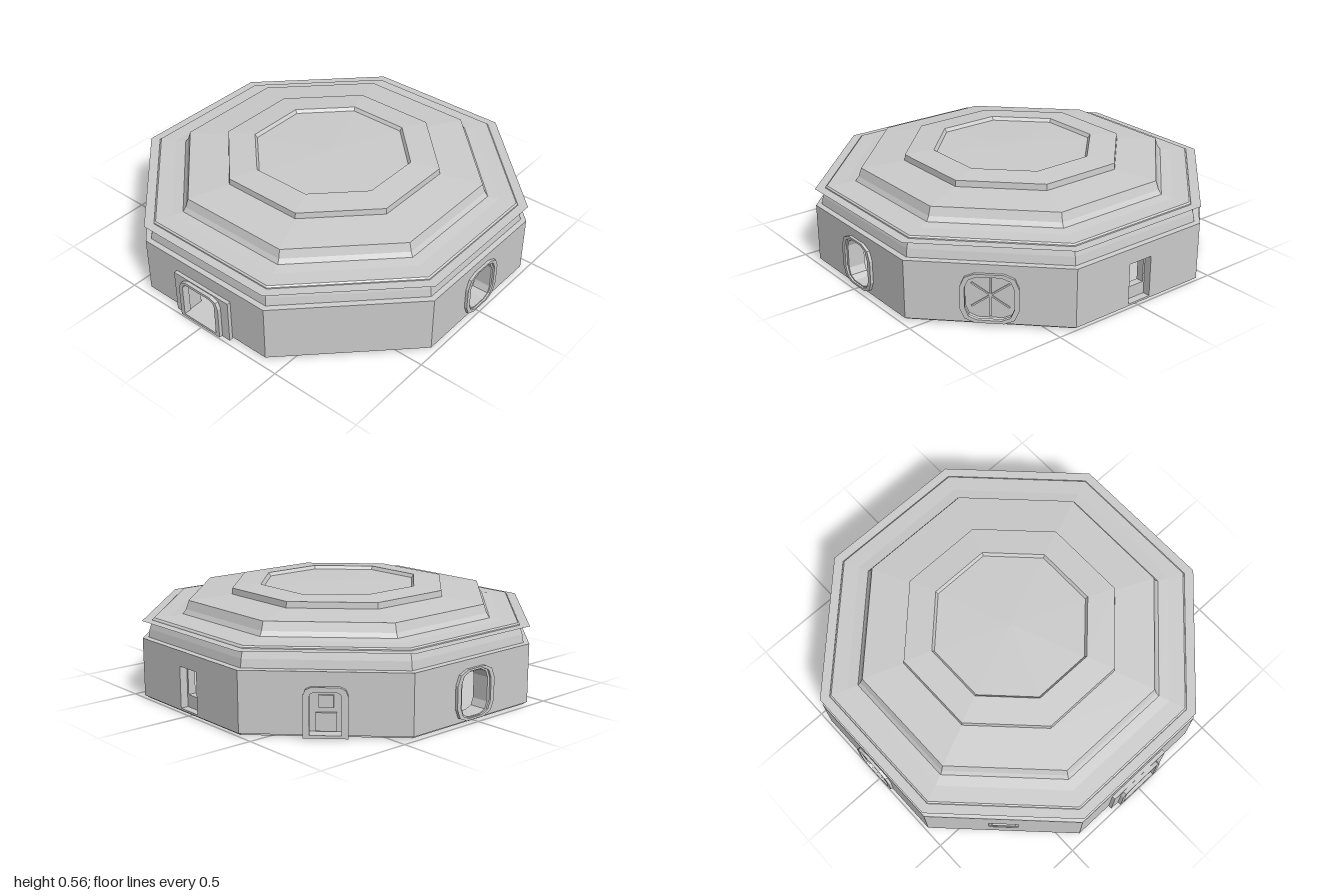
import * as THREE from 'three';

const AP = 0.98;                       // distance from centre to each wall face
const TAN = Math.tan(Math.PI / 8), COS = Math.cos(Math.PI / 8);
const grey = new THREE.MeshStandardMaterial({ color: 0xcccccc, flatShading: true, side: THREE.DoubleSide });
const blue = new THREE.MeshStandardMaterial({ color: 0x9fd4e8, flatShading: true, side: THREE.DoubleSide });

function add(parent, name, geometry, x = 0, y = 0, z = 0, material = grey) {
  const mesh = new THREE.Mesh(geometry, material);
  mesh.name = name;
  mesh.position.set(x, y, z);
  parent.add(mesh);
  return mesh;
}

// Octagonal shell from [apothem, height] pairs
function octagon(profile) {
  const pts = profile.map(([a, y]) => new THREE.Vector2(a / COS, y));
  return new THREE.LatheGeometry(pts, 8, Math.PI / 8).toNonIndexed();
}

// Rectangle with cut corners; b and t are the bottom and top corner cuts
function panel(w, y0, y1, t = 0, b = 0, Kind = THREE.Shape) {
  const h = w / 2, p = [];
  const corner = (x, y, sx, sy, c, flip) => {
    if (!c) return p.push([x, y]);
    const k = c * 0.3;
    const arc = [[x, y + sy * c], [x + sx * k, y + sy * k], [x + sx * c, y]];
    p.push(...(flip ? arc.reverse() : arc));
  };
  corner(-h, y0, 1, 1, b, false);
  corner(h, y0, -1, 1, b, true);
  corner(h, y1, -1, -1, t, false);
  corner(-h, y1, 1, -1, t, true);
  return new Kind(p.map(([x, y]) => new THREE.Vector2(x, y)));
}

function extrude(shape, depth, hole) {
  if (hole) shape.holes.push(hole);
  return new THREE.ExtrudeGeometry(shape, { depth, bevelEnabled: false });
}

const hole = (w, y0, y1, t, b) => panel(w, y0, y1, t, b, THREE.Path);

// Each opening: its cut in the wall and the fittings around it
const entrance = {
  cut: () => hole(0.23, 0.025, 0.225, 0.03, 0),
  fit(g) {
    add(g, 'entranceFrame', extrude(panel(0.37, 0.005, 0.245), 0.02, hole(0.25, 0.02, 0.235, 0.04, 0)));
    add(g, 'entranceLip', extrude(panel(0.27, 0.01, 0.24, 0.05, 0), 0.04, hole(0.22, 0.025, 0.225, 0.03, 0)));
  }
};
const portal = {
  cut: () => hole(0.19, 0.03, 0.26, 0.05, 0.05),
  fit(g) {
    add(g, 'portalFrame', extrude(panel(0.26, 0.02, 0.275, 0.07, 0.07), 0.025, hole(0.21, 0.03, 0.265, 0.06, 0.06)), 0, 0, -0.01);
    add(g, 'portalLining', extrude(panel(0.21, 0.028, 0.268, 0.06, 0.06), 0.09, hole(0.18, 0.035, 0.258, 0.05, 0.05)), 0, 0, -0.085);
  }
};
const closedPortal = {
  cut: () => hole(0.24, 0.03, 0.265, 0.06, 0.06),
  fit(g) {
    add(g, 'hatchFrame', extrude(panel(0.28, 0.02, 0.275, 0.07, 0.07), 0.02, hole(0.235, 0.035, 0.26, 0.06, 0.06)), 0, 0, -0.005);
    add(g, 'hatchPanel', extrude(panel(0.26, 0.02, 0.275, 0.06, 0.06), 0.02), 0, 0, -0.05);
    for (const a of [0.6, -0.6, Math.PI / 2]) {
      add(g, 'hatchRib', new THREE.BoxGeometry(0.22, 0.008, 0.008), 0, 0.148, -0.028).rotation.z = a;
    }
  }
};
const backOpening = {
  cut: () => hole(0.14, 0.025, 0.24),
  fit(g) {
    add(g, 'backSill', new THREE.BoxGeometry(0.14, 0.07, 0.04), 0, 0.055, -0.06);
    for (const s of [-1, 1]) add(g, 'backJamb', new THREE.BoxGeometry(0.012, 0.15, 0.04), s * 0.066, 0.165, -0.06);
  }
};
const sideDoor = {
  cut: () => hole(0.16, 0.02, 0.23, 0.02, 0),
  fit(g) {
    add(g, 'sideDoorFrame', extrude(panel(0.21, 0.005, 0.25, 0.04, 0), 0.02, hole(0.15, 0.02, 0.225, 0.02, 0)));
    add(g, 'sideDoorPanel', new THREE.BoxGeometry(0.16, 0.21, 0.02), 0, 0.125, -0.05);
    add(g, 'sideDoorLower', new THREE.BoxGeometry(0.1, 0.09, 0.015), 0, 0.07, -0.035);
    add(g, 'sideDoorUpper', new THREE.BoxGeometry(0.07, 0.06, 0.015), 0, 0.17, -0.035);
  }
};
const smallWindow = {
  cut: () => hole(0.155, 0.11, 0.195),
  fit(g) {
    add(g, 'windowFrame', extrude(panel(0.155, 0.11, 0.195), 0.04, hole(0.12, 0.125, 0.18)), 0, 0, -0.045);
    add(g, 'windowPane', new THREE.BoxGeometry(0.155, 0.085, 0.01), 0, 0.152, -0.06);
  }
};

export function createModel() {
  const model = new THREE.Group();
  model.name = 'octagonalBuilding';
  const body = new THREE.Group();
  body.name = 'body';
  body.position.set(-0.005, 0, -0.02);
  model.add(body);

  // Floor slab with shallow underside steps
  add(body, 'floorSlab', octagon([[0, 0.004], [0.28, 0.004], [0.29, 0], [0.78, 0], [0.79, 0.004], [0.965, 0.004],
    [0.965, 0.02], [AP, 0.02], [0, 0.025]]));
  // Low platform in the middle of the room
  add(body, 'platform', octagon([[0.3, 0.02], [0.3, 0.085], [0, 0.09]]));
  for (const s of [-1, 1]) add(body, 'platformStrip', new THREE.BoxGeometry(0.02, 0.025, 0.1), s * 0.305, 0.04, 0, blue);

  // Eight walls, counter-clockwise from the front
  const openings = [entrance, null, portal, closedPortal, backOpening, sideDoor, portal, smallWindow];
  openings.forEach((opening, i) => {
    const side = new THREE.Group();
    side.name = 'wallSide';
    side.rotation.y = i * Math.PI / 4;
    side.position.set(AP * Math.sin(side.rotation.y), 0, AP * Math.cos(side.rotation.y));
    add(side, 'wall', extrude(panel(2 * AP * TAN, 0.015, 0.32), 0.08, opening && opening.cut()), 0, 0, -0.08);
    if (opening) opening.fit(side);
    body.add(side);
  });

  // Thin flat eave around the roof
  add(body, 'eave', octagon([[AP, 0.41], [0.9, 0.41]]));

  // Stepped roof with a sunken, slightly domed top panel
  add(body, 'roof', octagon([[AP, 0.315], [0.975, 0.32], [0.952, 0.323], [0.945, 0.365], [0.93, 0.415], [0.922, 0.422],
    [0.84, 0.425], [0.785, 0.432], [0.77, 0.455], [0.755, 0.5], [0.545, 0.518], [0.542, 0.55],
    [0.4, 0.56], [0.388, 0.542], [0, 0.552]]));
  return model;
}
